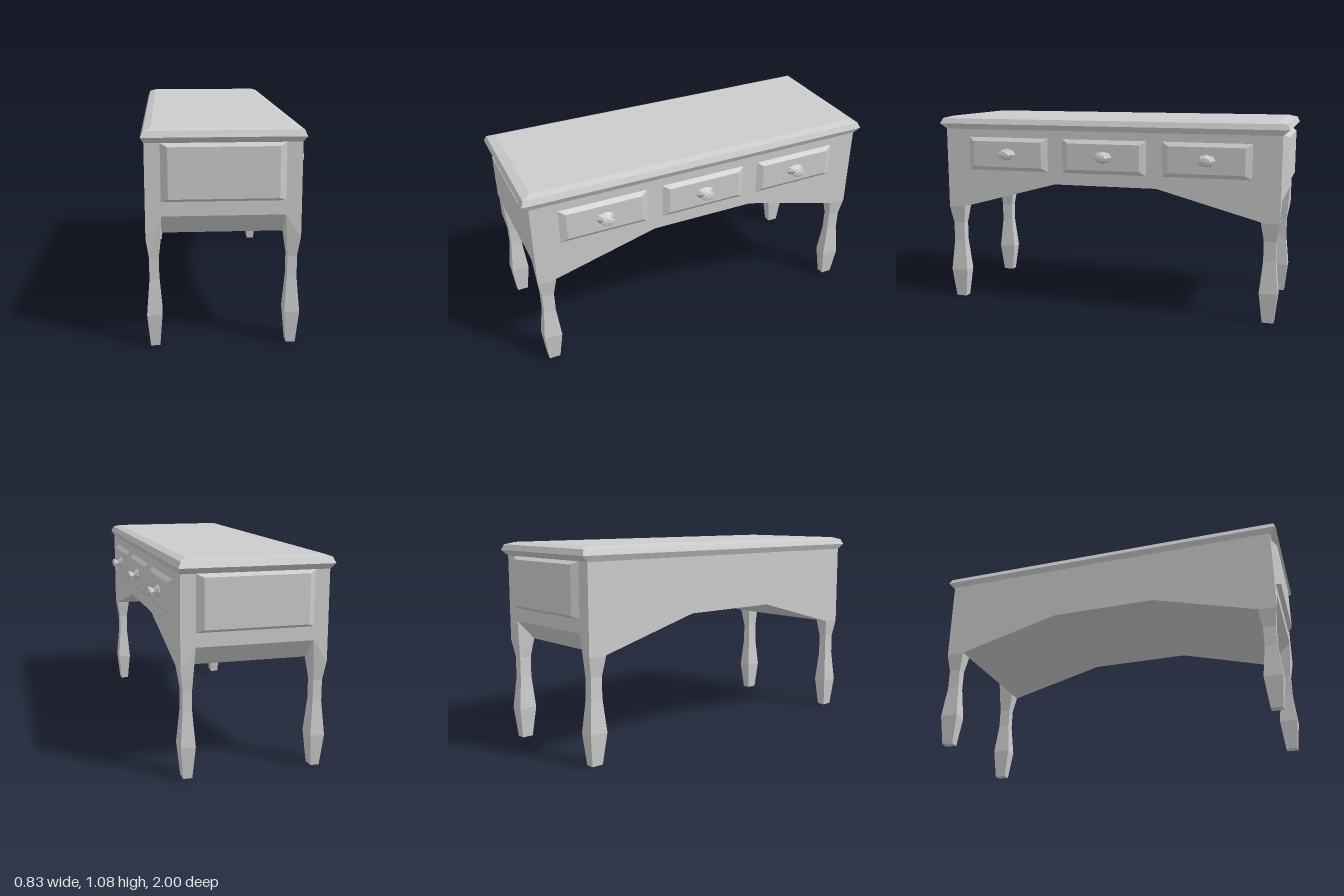
import * as THREE from 'three';

const CX = -0.0325;                       // middle of the desk body in x
const HALF_W = 0.3725, HALF_L = 0.965;    // body half width (x) and half length (z)
const material = new THREE.MeshStandardMaterial({ color: 0xcccccc, flatShading: true });

// Joins four-cornered rings, listed bottom to top, and caps both ends
function loft(rings) {
  const pos = [];
  const quad = (a, b, c, d) => [a, b, c, a, c, d].forEach(p => pos.push(...p));
  for (let r = 0; r < rings.length - 1; r++) {
    const lo = rings[r], hi = rings[r + 1];
    for (let i = 0; i < 4; i++) {
      const j = (i + 1) % 4;
      quad(lo[i], lo[j], hi[j], hi[i]);
    }
  }
  const first = rings[0], last = rings[rings.length - 1];
  quad(first[3], first[2], first[1], first[0]);
  quad(...last);
  const geo = new THREE.BufferGeometry();
  geo.setAttribute('position', new THREE.Float32BufferAttribute(pos, 3));
  geo.computeVertexNormals();
  return geo;
}

const rect = (x0, x1, z0, z1, y) => [[x0, y, z1], [x1, y, z1], [x1, y, z0], [x0, y, z0]];
const centred = (hx, hz, y) => rect(-hx, hx, -hz, hz, y);

// Raised panel with bevelled borders, rising along +y
const panel = (hx, hz, insetX, insetZ, height) =>
  loft([centred(hx, hz, -0.005), centred(hx, hz, 0), centred(hx - insetX, hz - insetZ, height)]);

function add(parent, name, geo, x = 0, y = 0, z = 0) {
  const mesh = new THREE.Mesh(geo, material);
  mesh.name = name;
  mesh.position.set(x, y, z);
  parent.add(mesh);
  return mesh;
}

// Square leg: foot, knee, neck and a hip that blends into the body corner
function legGeometry(sx, sz) {
  const rings = [
    rect(0.311, 0.357, 0.885, 0.947, 0),
    rect(0.2975, HALF_W, 0.865, HALF_L, 0.165),
    rect(0.311, 0.358, 0.882, 0.948, 0.34),
    rect(0.311, 0.358, 0.882, 0.948, 0.45),
    [[0.2975, 0.66, HALF_L], [HALF_W, 0.55, HALF_L], [HALF_W, 0.55, 0.865], [0.2975, 0.55, 0.865]],
    rect(0.2975, HALF_W, 0.865, HALF_L, 0.66),
  ];
  return loft(rings.map(ring => {
    const out = ring.map(([x, y, z]) => [x * sx, y, z * sz]);
    return sx * sz < 0 ? out.reverse() : out;
  }));
}

export function createModel() {
  const desk = new THREE.Group();
  desk.name = 'desk';

  // Body: arched side outline extruded across the width
  const outline = new THREE.Shape([
    [-HALF_L, 1.01], [-HALF_L, 0.66], [-0.865, 0.553], [-0.295, 0.707],
    [0.295, 0.707], [0.865, 0.553], [HALF_L, 0.66], [HALF_L, 1.01],
  ].map(([z, y]) => new THREE.Vector2(z, y)));
  const body = new THREE.ExtrudeGeometry(outline, { depth: 2 * HALF_W, bevelEnabled: false });
  body.translate(0, 0, -HALF_W).rotateY(Math.PI / 2);
  add(desk, 'body', body, CX);

  // Table top with a moulded edge
  add(desk, 'tableTop', loft([
    centred(HALF_W, HALF_L, 1.01),
    centred(0.387, 1.0, 1.04),
    centred(0.374, 0.987, 1.07),
    centred(0.338, 0.94, 1.083),
  ]), CX);

  // Legs and end panels
  for (const sz of [1, -1]) {
    for (const sx of [1, -1]) {
      add(desk, (sz > 0 ? 'front' : 'back') + (sx > 0 ? 'Left' : 'Right') + 'Leg', legGeometry(sx, sz), CX);
    }
    const end = panel(0.2975, 0.14, 0.034, 0.016, 0.025).rotateX(Math.PI / 2);
    if (sz < 0) end.rotateY(Math.PI);
    add(desk, sz > 0 ? 'frontPanel' : 'backPanel', end, CX, 0.87, sz * HALF_L);
  }

  // Three drawers with oval knobs on the left side
  const knobProfile = [[0, -0.003], [0.035, -0.003], [0.033, 0.003], [0.013, 0.024], [0.013, 0.028],
    [0.025, 0.045], [0.021, 0.053], [0, 0.057]].map(([r, h]) => new THREE.Vector2(r, h));
  for (const i of [-1, 0, 1]) {
    const drawer = new THREE.Group();
    drawer.name = 'drawer' + (i + 2);
    drawer.position.set(CX + HALF_W, 0.87, 0.004 + i * 0.574);
    add(drawer, 'drawerFront', panel(0.095, 0.243, 0.022, 0.035, 0.018).rotateZ(-Math.PI / 2));
    const knob = new THREE.LatheGeometry(knobProfile, 8);
    knob.scale(1, 1, 1.53).rotateZ(-Math.PI / 2);
    add(drawer, 'knob', knob, 0.018);
    desk.add(drawer);
  }
  return desk;
}
